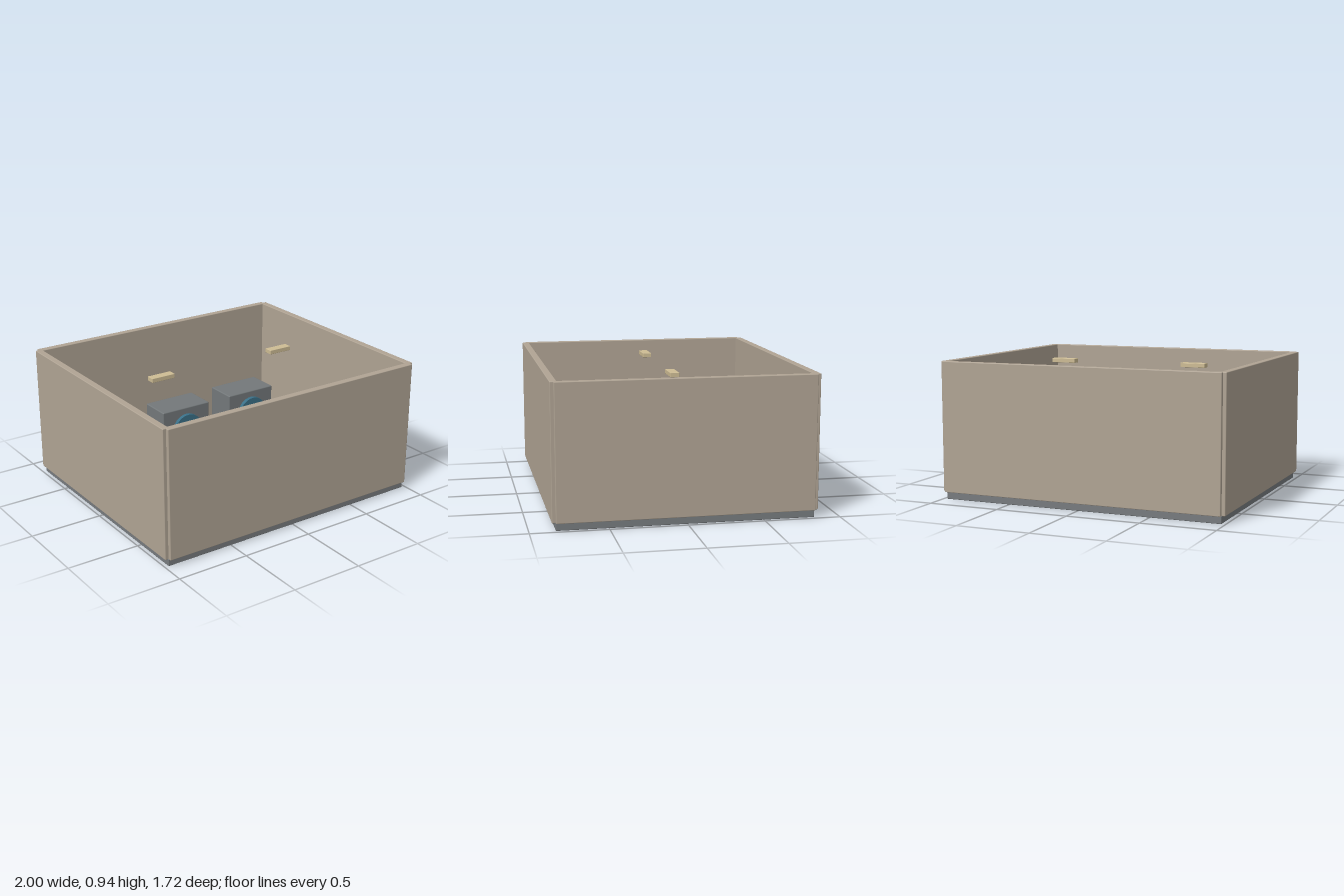
import * as THREE from 'three';
import { RoundedBoxGeometry } from 'three/addons/geometries/RoundedBoxGeometry.js';

const mat = (color) => new THREE.MeshStandardMaterial({ color });

export function createModel() {
  const room = new THREE.Group();
  room.name = 'laundryRoom';
  const wallMat = mat(0xb0a494), floorMat = mat(0x777b7e), machineMat = mat(0x73787a);
  const doorMat = mat(0x3a7088), trimMat = mat(0xa67c35), woodMat = mat(0xcdbc94);

  // Box given by its minimum and maximum corners, with softly rounded edges
  function block(name, material, [x0, y0, z0], [x1, y1, z1], radius = 0.005, parent = room) {
    const w = x1 - x0, h = y1 - y0, d = z1 - z0;
    const geo = radius ? new RoundedBoxGeometry(w, h, d, 2, radius) : new THREE.BoxGeometry(w, h, d);
    const mesh = new THREE.Mesh(geo, material);
    mesh.name = name;
    mesh.position.set((x0 + x1) / 2, (y0 + y1) / 2, (z0 + z1) / 2);
    parent.add(mesh);
    return mesh;
  }

  // Floor slab and four walls centred over its edges
  const top = 0.935, base = 0.05, fx = 0.975, fz = 0.835, t = 0.0235;
  block('floor', floorMat, [-fx, 0, -fz], [fx, base, fz]);
  block('frontWall', wallMat, [-fx, base, fz - t], [fx, top, fz + t]);
  block('backWall', wallMat, [-fx, base, -fz - t], [fx, top, -fz + t]);
  block('leftWall', wallMat, [fx - t, base, -fz], [fx + t, top, fz]);
  block('rightWall', wallMat, [-fx - t, base, -fz], [-fx + t, top, fz]);

  // Skirting along the back and both sides
  block('backSkirting', trimMat, [-0.95, base, -0.812], [0.95, 0.1, -0.795], 0);
  block('leftSkirting', trimMat, [0.936, base, -0.812], [0.952, 0.1, 0.812], 0);
  block('rightSkirting', trimMat, [-0.952, base, -0.812], [-0.936, 0.1, 0.812], 0);

  // Three washing machines with round doors
  for (const x of [-0.585, 0, 0.585]) {
    const washer = new THREE.Group();
    washer.name = 'washingMachine';
    washer.position.x = x;
    block('cabinet', machineMat, [-0.2, base, -0.69], [0.2, 0.4, -0.455], 0.008, washer);
    const door = new THREE.Mesh(new THREE.CylinderGeometry(0.117, 0.117, 0.04, 32), doorMat);
    door.name = 'door';
    door.rotation.x = Math.PI / 2;
    door.position.set(0, 0.235, -0.447);
    washer.add(door);
    room.add(washer);
  }

  // Folding table
  const table = new THREE.Group();
  table.name = 'foldingTable';
  block('tableTop', woodMat, [-0.445, 0.235, -0.025], [0.445, 0.275, 0.25], 0.004, table);
  for (const x of [-0.4, 0.4]) for (const z of [0.02, 0.205]) {
    block('tableLeg', woodMat, [x - 0.02, base, z - 0.02], [x + 0.02, 0.235, z + 0.02], 0, table);
  }
  room.add(table);

  // Pair of small high shelves
  for (const s of [-1, 1]) {
    block('highShelf', woodMat, [s * 0.4875 - 0.0875, 0.875, -0.03], [s * 0.4875 + 0.0875, 0.905, 0.03], 0.003);
  }
  return room;
}
